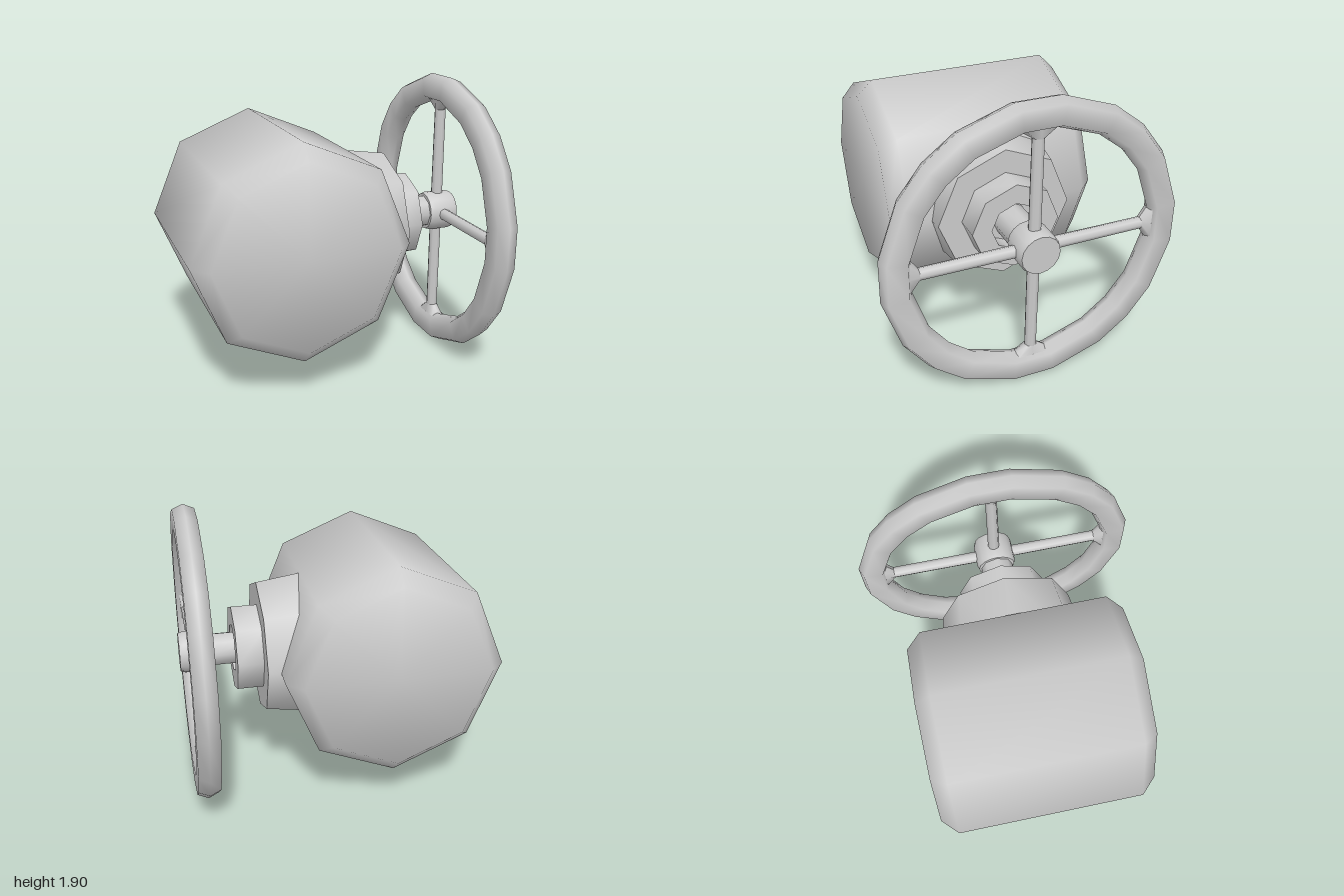
import * as THREE from 'three';
import { toCreasedNormals } from 'three/addons/utils/BufferGeometryUtils.js';

const AXIS_Y = 0.96;
const WHEEL_X = 0.9;
const material = new THREE.MeshStandardMaterial({ color: 0xcccccc });

function part(name, geometry, parent) {
  const mesh = new THREE.Mesh(geometry, material);
  mesh.name = name;
  parent.add(mesh);
  return mesh;
}

// Solid of revolution from [radius, height] pairs, edges above 60 degrees stay sharp
function turned(profile, sides) {
  const points = profile.map(([r, h]) => new THREE.Vector2(r, h));
  return toCreasedNormals(new THREE.LatheGeometry(points, sides), Math.PI / 3);
}

// Rim: a hexagonal section carried round the x axis through uneven angles
function rimGeometry() {
  const section = [[0, 0.77], [0.07, 0.805], [0.07, 0.93], [0, 0.96], [-0.07, 0.93], [-0.07, 0.805]];
  const quarter = [8.4, 30, 45, 60, 81.6];
  const angles = [0, 90, 180, 270].flatMap((q) => quarter.map((a) => THREE.MathUtils.degToRad(q + a)));
  const m = section.length;
  const n = angles.length;
  const positions = [];
  const index = [];
  angles.forEach((t, i) => {
    section.forEach(([x, r], j) => {
      positions.push(x, r * Math.cos(t), r * Math.sin(t));
      const a = i * m + j;
      const b = i * m + (j + 1) % m;
      const c = ((i + 1) % n) * m + j;
      const d = ((i + 1) % n) * m + (j + 1) % m;
      index.push(a, b, c, b, d, c);
    });
  });
  const geometry = new THREE.BufferGeometry();
  geometry.setAttribute('position', new THREE.Float32BufferAttribute(positions, 3));
  geometry.setIndex(index);
  geometry.computeVertexNormals();
  return geometry;
}

export function createModel() {
  const model = new THREE.Group();
  model.name = 'handwheelValve';

  // Octagonal body lying along z, with chamfered ends
  const body = part('body', turned(
    [[0, -0.7], [0.6, -0.7], [0.7, -0.6], [0.7, 0.6], [0.6, 0.7], [0, 0.7]], 8), model);
  body.rotation.x = Math.PI / 2;
  body.position.set(-0.3, AXIS_Y, 0);

  // Parts turned about the x axis
  const alongX = (name, profile, sides) => {
    const mesh = part(name, turned(profile, sides), model);
    mesh.rotation.z = -Math.PI / 2;
    mesh.position.y = AXIS_Y;
  };
  alongX('neck', [[0, 0], [0.515, 0], [0.445, 0.48], [0, 0.48]], 8);
  alongX('collar', [[0.29, 0.46], [0.29, 0.65], [0.16, 0.65], [0.16, 0.55], [0, 0.55]], 8);
  alongX('stem', [[0.11, 0.5], [0.11, 0.84]], 8);
  alongX('hub', [[0, 0.8], [0.125, 0.8], [0.135, 0.83], [0.135, 0.97], [0.125, 1], [0, 1]], 16);

  // Handwheel: rim and four spokes, flared where they meet the rim
  const wheel = new THREE.Group();
  wheel.name = 'handwheel';
  wheel.position.set(WHEEL_X, AXIS_Y, 0);
  model.add(wheel);
  part('rim', rimGeometry(), wheel);

  const spokeGeometry = new THREE.CylinderGeometry(0.038, 0.04, 0.72, 8, 1, true);
  spokeGeometry.translate(0, 0.44, 0);
  const flareGeometry = new THREE.CylinderGeometry(0.14, 0.038, 0.07, 8, 1, true);
  flareGeometry.translate(0, 0.755, 0);
  const flarePos = flareGeometry.attributes.position;
  for (let i = 0; i < flarePos.count; i++) {
    flarePos.setX(i, THREE.MathUtils.clamp(flarePos.getX(i), -0.045, 0.045));
  }
  flareGeometry.computeVertexNormals();
  for (let i = 0; i < 4; i++) {
    const spoke = new THREE.Group();
    spoke.name = 'spoke';
    spoke.rotation.x = i * Math.PI / 2;
    wheel.add(spoke);
    part('spokeRod', spokeGeometry, spoke);
    part('spokeFlare', flareGeometry, spoke);
  }
  return model;
}
